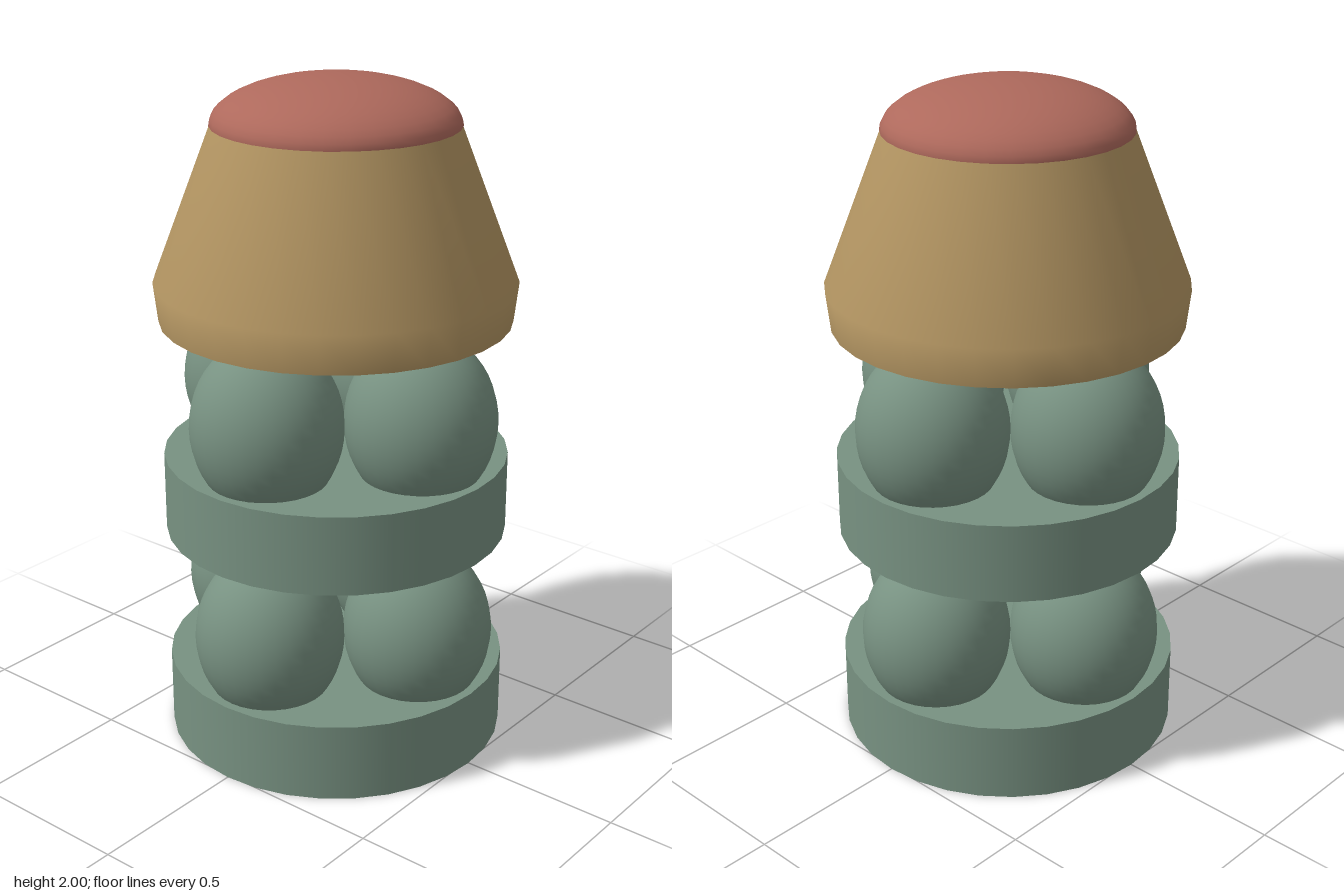
import * as THREE from 'three';

const SIDES = 32;

export function createModel() {
  const model = new THREE.Group();
  model.name = 'stackedTower';

  const green = new THREE.MeshStandardMaterial({ color: 0x789282 });
  green.name = 'sage green';
  const tan = new THREE.MeshStandardMaterial({ color: 0xb39562 });
  tan.name = 'tan';
  const red = new THREE.MeshStandardMaterial({ color: 0xae695c });
  red.name = 'brick red';

  const add = (parent, name, geometry, material, x = 0, y = 0, z = 0) => {
    const mesh = new THREE.Mesh(geometry, material);
    mesh.name = name;
    mesh.position.set(x, y, z);
    parent.add(mesh);
    return mesh;
  };

  // Two tiers: a flat disc carrying four egg-shaped balls
  const discHeight = 0.237;
  const discGeometry = new THREE.CylinderGeometry(0.51, 0.51, discHeight, SIDES);
  const ballGeometry = new THREE.SphereGeometry(1, SIDES, 24).scale(0.22, 0.26, 0.22);
  [['lowerTier', 0], ['upperTier', 0.658]].forEach(([name, base]) => {
    const tier = new THREE.Group();
    tier.name = name;
    tier.position.y = base;
    add(tier, 'disc', discGeometry, green, 0, discHeight / 2, 0);
    for (let i = 0; i < 4; i++) {
      const a = (i * Math.PI) / 2;
      add(tier, 'ball', ballGeometry, green, 0.31 * Math.sin(a), 0.397, 0.31 * Math.cos(a));
    }
    model.add(tier);
  });

  // Tapered hood with a short inward-turned skirt
  const hood = new THREE.Group();
  hood.name = 'hood';
  const profile = [[0.512, 1.305], [0.525, 1.42], [0.352, 1.867]];
  add(hood, 'hoodWall',
    new THREE.LatheGeometry(profile.map(([r, y]) => new THREE.Vector2(r, y)), SIDES), tan);
  add(hood, 'hoodUnderside',
    new THREE.CircleGeometry(0.512, SIDES).rotateX(Math.PI / 2), tan, 0, 1.305, 0);
  model.add(hood);

  // Low domed top
  add(model, 'domeTop',
    new THREE.SphereGeometry(1, SIDES, 12, 0, Math.PI * 2, 0, Math.PI / 2)
      .scale(0.355, 0.135, 0.355), red, 0, 1.865, 0);

  return model;
}
